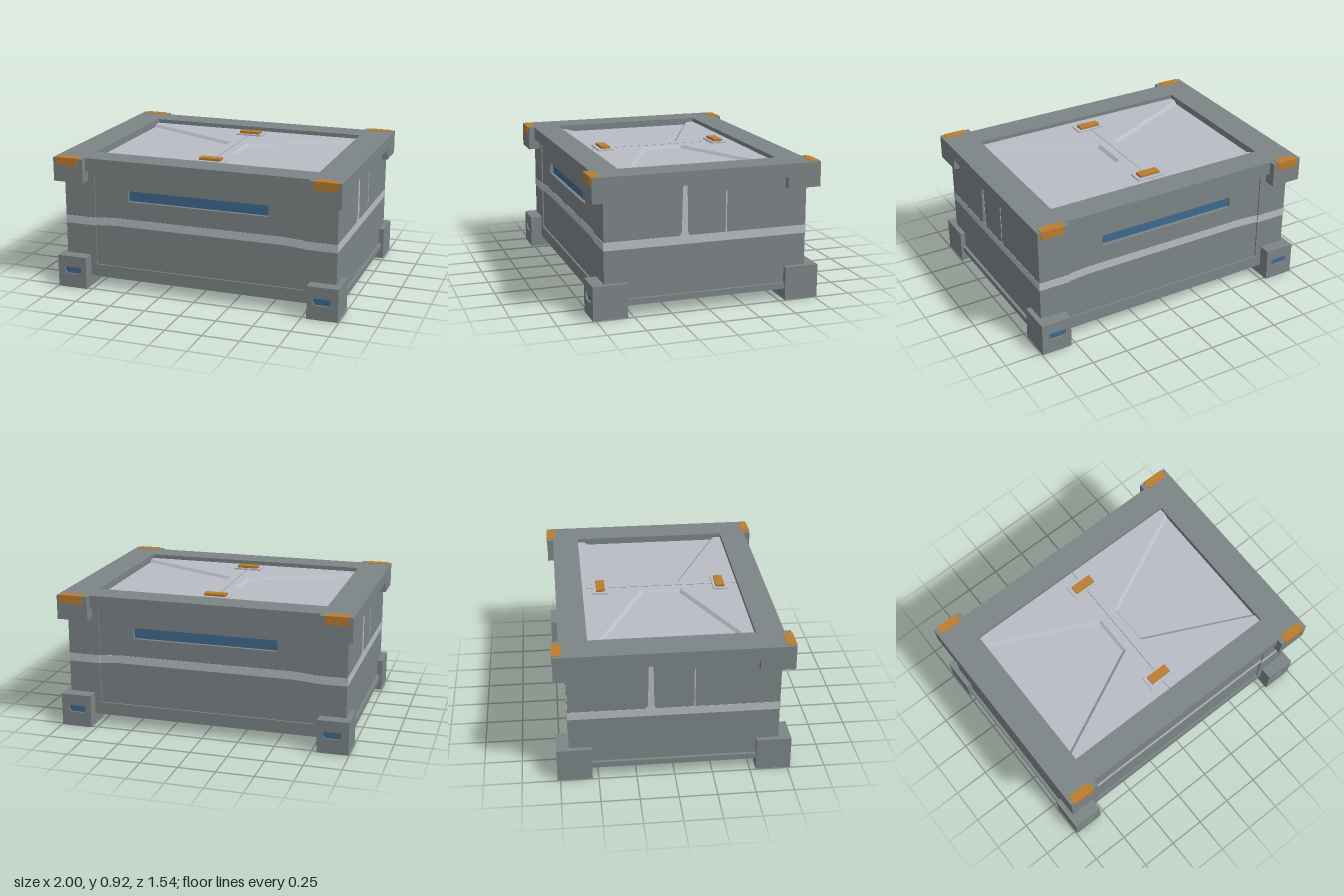
import * as THREE from 'three';

const material = (name, color) => {
  const m = new THREE.MeshStandardMaterial({ color });
  m.name = name;
  return m;
};

const rect = (x0, y0, x1, y1) => [[x0, y0], [x1, y0], [x1, y1], [x0, y1]];
const toPoints = (list) => list.map(([x, y]) => new THREE.Vector2(x, y));

// Flat outline with an optional hole, extruded along +z
function plateGeometry(outline, depth, hole, bevel) {
  const shape = new THREE.Shape(toPoints(outline));
  if (hole) shape.holes.push(new THREE.Path(toPoints(hole)));
  return new THREE.ExtrudeGeometry(shape, { depth, bevelEnabled: false, ...bevel });
}

export function createModel() {
  const grey = material('hull grey', 0x7d8587);
  const light = material('light panel', 0xb9bdc6);
  const orange = material('orange latch', 0xbb7d30);
  const blue = material('blue inset', 0x3f6b8f);

  const model = new THREE.Group();
  model.name = 'storageCrate';

  const add = (parent, name, geometry, mat) => {
    const mesh = new THREE.Mesh(geometry, mat);
    mesh.name = name;
    parent.add(mesh);
    return mesh;
  };
  // Box given by its low and high corners
  const box = (parent, name, mat, [x0, y0, z0], [x1, y1, z1]) => {
    const g = new THREE.BoxGeometry(x1 - x0, y1 - y0, z1 - z0);
    g.translate((x0 + x1) / 2, (y0 + y1) / 2, (z0 + z1) / 2);
    return add(parent, name, g, mat);
  };

  // Core and base sill
  box(model, 'bodyCore', grey, [-0.96, 0.08, -0.65], [0.96, 0.86, 0.65]);
  box(model, 'baseSill', grey, [-0.98, 0.075, -0.68], [0.98, 0.115, 0.68]);

  // Top rim
  const rim = plateGeometry(rect(-1, -0.725, 1, 0.725), 0.09, rect(-0.79, -0.54, 0.79, 0.54));
  rim.rotateX(-Math.PI / 2).translate(0, 0.83, 0);
  add(model, 'topRim', rim, grey);

  // Lid: low floor with a raised hourglass whose edges slope down
  box(model, 'lidFloor', light, [-0.8, 0.855, -0.55], [0.8, 0.873, 0.55]);
  const hourglass = [
    [-0.82, -0.56], [0.82, -0.56], [0.82, -0.503], [0.06, -0.14], [0.06, 0.14], [0.82, 0.503],
    [0.82, 0.56], [-0.82, 0.56], [-0.82, 0.503], [-0.06, 0.14], [-0.06, -0.14], [-0.82, -0.503],
  ];
  const raised = plateGeometry(hourglass, 0.005, null, {
    bevelEnabled: true, bevelSize: 0.02, bevelThickness: 0.02, bevelSegments: 1,
  });
  raised.rotateX(-Math.PI / 2).translate(0, 0.867, 0);
  add(model, 'raisedLidPanel', raised, light);
  box(model, 'lidSeam', grey, [-0.002, 0.885, -0.54], [0.002, 0.8925, 0.54]);

  // One long side with its two corners; the other is the same turned half round
  const buildHalf = () => {
    const half = new THREE.Group();

    // Recessed side panel with the long slot
    const slot = rect(-0.495, 0.63, 0.495, 0.705);
    const panel = plateGeometry(rect(-0.745, 0.1, 0.745, 0.84), 0.03, slot);
    panel.translate(0, 0, 0.648);
    add(half, 'sidePanel', panel, grey);
    box(half, 'slotInset', blue, [-0.5, 0.625, 0.649], [0.5, 0.71, 0.655]);
    box(half, 'lowerSideSill', grey, [-0.79, 0.075, 0.64], [0.79, 0.16, 0.69]);

    // Stripe along the long side, a little higher in the middle
    const stripe = plateGeometry([
      [-0.74, 0.44], [-0.6, 0.45], [0.6, 0.45], [0.74, 0.44],
      [0.74, 0.495], [0.6, 0.505], [-0.6, 0.505], [-0.74, 0.495],
    ], 0.003);
    stripe.translate(0, 0, 0.677);
    add(half, 'sideStripe', stripe, light);

    for (const s of [-1, 1]) {
      const span = (name, mat, x0, x1, y0, y1, z0, z1) =>
        box(half, name, mat, [Math.min(s * x0, s * x1), y0, z0], [Math.max(s * x0, s * x1), y1, z1]);

      // Corner post and its stripe
      span('cornerPost', grey, 0.74, 0.96, 0.1, 0.84, 0.6, 0.687);
      span('postStripe', light, 0.74, 0.962, 0.44, 0.495, 0.6, 0.689);

      // Upper corner bracket and wrapped latch
      span('cornerBracket', grey, 0.785, 1, 0.755, 0.92, 0.54, 0.768);
      span('cornerLatch', orange, 0.82, 0.975, 0.865, 0.923, 0.71, 0.772);

      // Foot with a blue inset
      span('foot', grey, 0.785, 0.995, 0, 0.225, 0.54, 0.755);
      const inset = [
        [0.84, 0.1], [0.93, 0.1], [0.945, 0.12], [0.945, 0.147], [0.825, 0.147], [0.825, 0.12],
      ].map(([x, y]) => [s * x, y]);
      const [a, b] = s > 0 ? [0.785, 0.995] : [-0.995, -0.785];
      const face = plateGeometry(rect(a, 0, b, 0.225), 0.015, inset);
      face.translate(0, 0, 0.755);
      add(half, 'footFace', face, grey);
      span('footInset', blue, 0.815, 0.955, 0.09, 0.155, 0.752, 0.758);
    }

    // Lid clip on its small base
    box(half, 'clipBase', light, [-0.1, 0.88, 0.365], [0.1, 0.902, 0.47]);
    box(half, 'lidClip', orange, [-0.075, 0.89, 0.385], [0.075, 0.918, 0.445]);

    // Short side stripe with its upright marks
    box(half, 'endStripe', light, [0.957, 0.44, -0.6], [0.962, 0.495, 0.6]);
    const mark = plateGeometry([
      [-0.19, 0.49], [-0.12, 0.49], [-0.13, 0.52], [-0.135, 0.81], [-0.14, 0.83],
      [-0.16, 0.83], [-0.165, 0.81], [-0.172, 0.52],
    ], 0.003);
    mark.rotateY(Math.PI / 2).translate(0.959, 0, 0);
    add(half, 'wideMark', mark, light);
    box(half, 'thinMark', light, [0.957, 0.49, -0.134], [0.962, 0.77, -0.126]);
    return half;
  };

  const front = buildHalf();
  front.name = 'frontHalf';
  const back = buildHalf();
  back.name = 'backHalf';
  back.rotation.y = Math.PI;
  model.add(front, back);
  return model;
}
